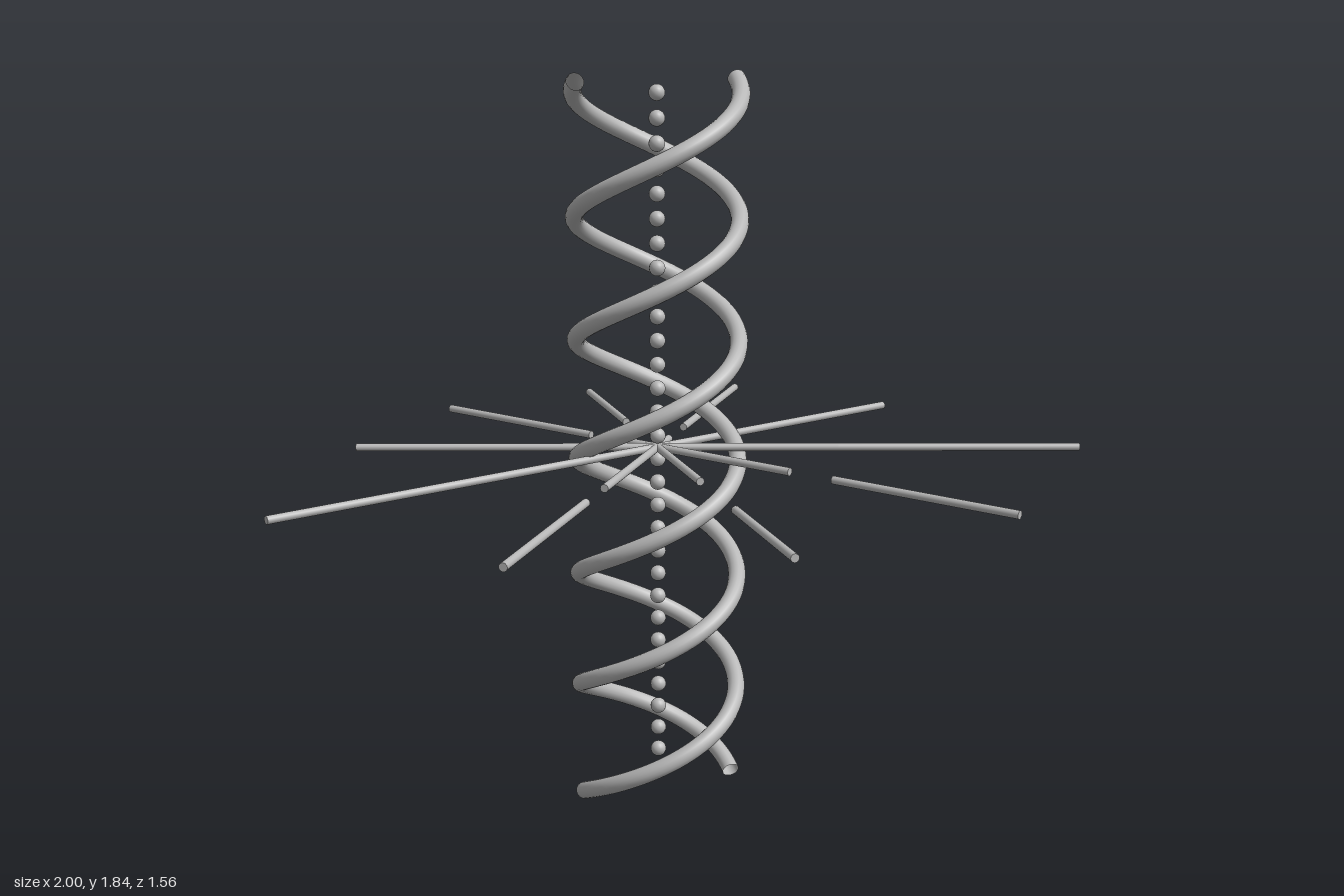
import * as THREE from 'three';

const CENTRE_Z = -0.15, MID_Y = 0.92;

// One strand of the double spiral, starting at the given angle
class Helix extends THREE.Curve {
  constructor(phase) {
    super();
    this.phase = phase;
  }
  getPoint(t, target = new THREE.Vector3()) {
    const a = this.phase - t * Math.PI * 6;
    return target.set(0.2 * Math.cos(a), 0.02 + 1.8 * t, 0.2 * Math.sin(a));
  }
}

export function createModel() {
  const group = new THREE.Group();
  group.name = 'doubleHelix';
  const grey = new THREE.MeshStandardMaterial({ color: 0xb8b8b8, side: THREE.DoubleSide });
  grey.name = 'grey';

  const add = (name, geometry, x, y, z) => {
    const mesh = new THREE.Mesh(geometry, grey);
    mesh.name = name;
    mesh.position.set(x, y, z);
    group.add(mesh);
    return mesh;
  };

  // Two open-ended strands, half a turn apart
  [0, Math.PI].forEach((phase, i) =>
    add('strand' + (i + 1), new THREE.TubeGeometry(new Helix(phase), 240, 0.022, 16), 0, 0, CENTRE_Z));

  // Column of beads along the axis
  const bead = new THREE.SphereGeometry(0.02, 16, 12);
  for (let i = 0; i < 30; i++) add('bead' + (i + 1), bead, 0, 0.05 + 0.06 * i, CENTRE_Z);

  // Horizontal rods: angle from +x towards +z, length, distances of their middles
  const addRod = (degrees, length, distance) => {
    const a = THREE.MathUtils.degToRad(degrees);
    const geometry = new THREE.CylinderGeometry(0.01, 0.01, length, 12).rotateZ(Math.PI / 2);
    const rod = add('rod', geometry, distance * Math.cos(a), MID_Y, CENTRE_Z + distance * Math.sin(a));
    rod.rotation.y = -a;
  };
  for (const [degrees, length] of [[18, 0.6], [54, 0.48], [90, 0.36], [126, 0.48], [162, 0.6]]) {
    addRod(-degrees, length, 0.45);
    addRod(degrees, length, 0.15);
    addRod(degrees, length, 0.75);
  }
  return group;
}
